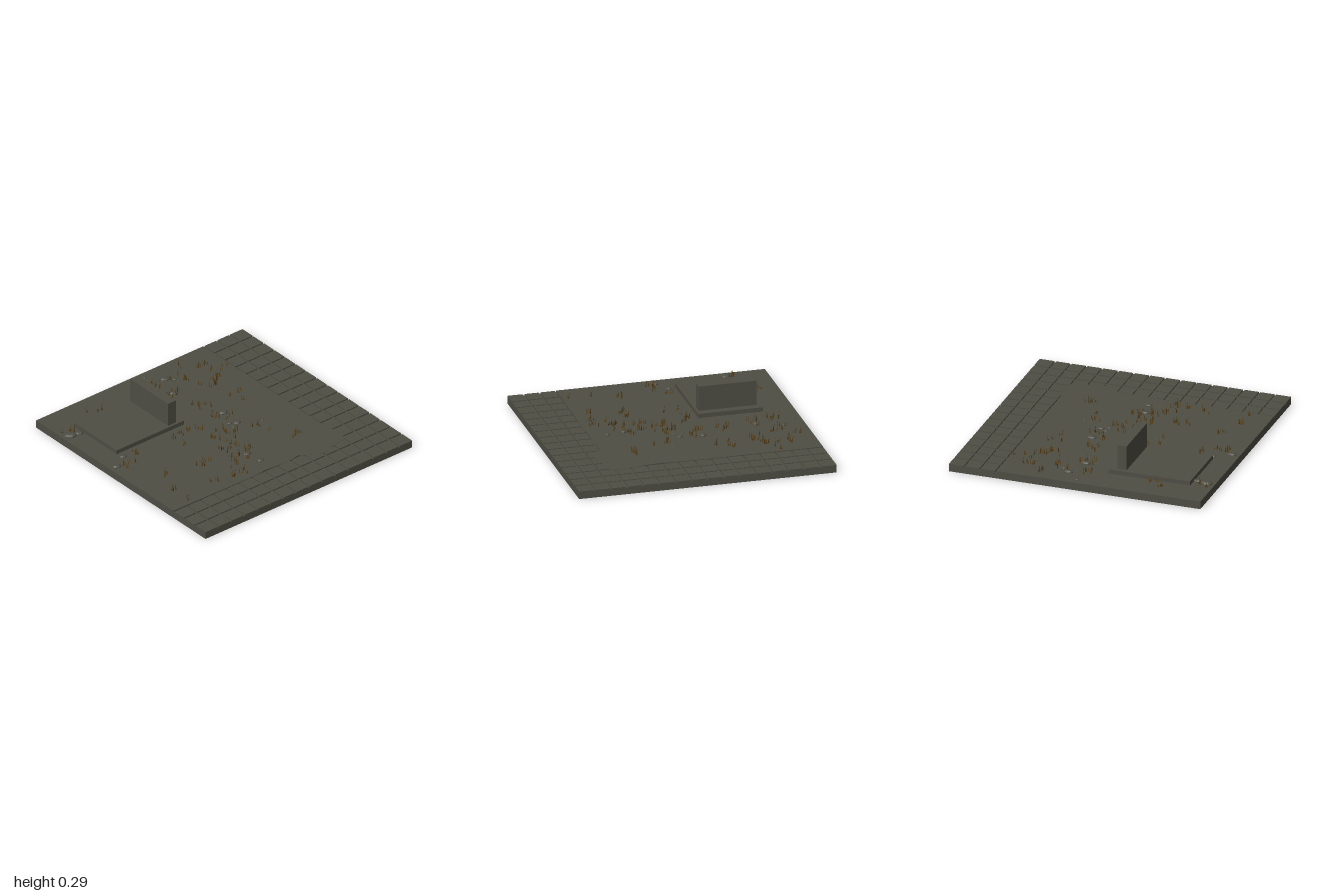
import * as THREE from 'three';

const stone = new THREE.MeshStandardMaterial({ color: 0x4f4e44, flatShading: true });
stone.name = 'olive stone';
const straw = new THREE.MeshStandardMaterial({ color: 0x5c4218, side: THREE.DoubleSide });
straw.name = 'dry grass';

// small seeded generator
let seed = 11;
const rand = () => (seed = (seed * 16807) % 2147483647) / 2147483647;
const spread = (r) => (rand() * 2 - 1) * r;

export function createModel() {
  seed = 11;
  const model = new THREE.Group();
  const add = (name, geometry, material = stone, parent = model) => {
    const mesh = new THREE.Mesh(geometry, material);
    mesh.name = name;
    parent.add(mesh);
    return mesh;
  };
  const box = (name, x0, x1, y0, y1, z0, z1, parent) =>
    add(name, new THREE.BoxGeometry(x1 - x0, y1 - y0, z1 - z0), stone, parent)
      .position.set((x0 + x1) / 2, (y0 + y1) / 2, (z0 + z1) / 2);

  // base slab
  box('baseSlab', -1, 1, 0, 0.05, -1, 1);

  // paving along the front and left edges
  const paving = new THREE.Group();
  paving.name = 'paving';
  model.add(paving);
  const pitch = 0.125, gap = 0.007;
  for (let i = 0; i < 16; i++) {
    for (let j = 0; j < 16; j++) {
      if (i < 13 && j < 13) continue;
      const x = -1 + i * pitch, z = -1 + j * pitch;
      box('pavingTile', x + (i ? gap : 0), x + pitch - (i < 15 ? gap : 0), 0.05, 0.06,
        z + (j ? gap : 0), z + pitch - (j < 15 ? gap : 0), paving);
    }
  }

  // soil, with a ragged edge spilling over the paving corner
  const edge = [[-1, -1], [0.62, -1], [0.625, 0.1], [0.61, 0.25], [0.625, 0.4], [0.64, 0.5],
    [0.66, 0.6], [0.62, 0.66], [0.52, 0.68], [0.38, 0.71], [0.28, 0.67], [0.22, 0.62],
    [0.1, 0.635], [-0.1, 0.62], [-0.22, 0.63], [-1, 0.62]];
  const soil = new THREE.ExtrudeGeometry(
    new THREE.Shape(edge.map(([x, z]) => new THREE.Vector2(x, -z))),
    { depth: 0.0115, bevelEnabled: false });
  soil.rotateX(-Math.PI / 2).translate(0, 0.05, 0);
  add('soil', soil);

  // plinth and upright slab
  box('plinth', -0.83, -0.18, 0.05, 0.095, -0.755, -0.255);
  box('uprightSlab', -0.315, -0.24, 0.095, 0.29, -0.725, -0.275);

  // rocks: x, z, half width
  const rocks = [[-0.93, -0.675, 0.055], [-0.86, -0.66, 0.042], [0.11, -0.83, 0.04],
    [0.165, -0.78, 0.02], [0.005, -0.94, 0.016], [0.04, -0.64, 0.042], [0.155, -0.195, 0.04],
    [-0.81, -0.2, 0.033], [-0.935, -0.125, 0.04], [0.095, -0.05, 0.02], [0.145, -0.02, 0.032],
    [0.09, 0.01, 0.02], [0.31, 0.075, 0.014], [-0.07, 0.36, 0.036], [-0.05, 0.49, 0.03]];
  const rockShape = new THREE.SphereGeometry(1, 8, 5);
  for (const [x, z, r] of rocks) {
    const rock = add('rock', rockShape);
    rock.position.set(x, 0.062, z);
    rock.scale.set(r, r * 0.4, r * 0.75);
    rock.rotation.y = spread(0.2);
  }

  // grass clumps: x, z, spread, number of tufts
  const clumps = [[-0.83, 0.58, 0.02, 1], [-0.82, 0.37, 0.04, 2], [-0.52, 0.52, 0.05, 3],
    [-0.72, 0.19, 0.05, 3], [-0.84, -0.06, 0.06, 4], [-0.7, -0.15, 0.05, 3], [-0.3, 0.5, 0.08, 7],
    [-0.41, 0.23, 0.07, 6], [-0.17, 0.38, 0.07, 8], [-0.13, 0.22, 0.07, 8], [-0.02, 0.33, 0.06, 6],
    [-0.08, 0.08, 0.08, 8], [0.02, 0.02, 0.07, 6], [0.22, 0.15, 0.06, 4], [0.12, -0.15, 0.07, 6],
    [0.09, -0.37, 0.07, 6], [0.02, -0.62, 0.06, 5], [0, -0.81, 0.06, 5], [0.19, -0.74, 0.06, 5],
    [0.32, -0.55, 0.06, 6], [0.41, -0.58, 0.06, 6], [0.44, -0.76, 0.07, 5], [0.55, -0.66, 0.04, 2],
    [0.36, 0.35, 0.06, 4], [0.38, -0.3, 0.08, 4], [-0.57, -0.85, 0.07, 4], [-0.92, -0.7, 0.04, 3],
    [-0.17, -0.15, 0.06, 5], [-0.3, -0.1, 0.08, 4], [0.35, -0.9, 0.05, 2]];
  const points = [];
  for (const [cx, cz, r, count] of clumps) {
    for (let t = 0; t < count; t++) {
      const x = cx + spread(r), z = cz + spread(r);
      // each tuft is a few upright triangles, leaning within their own plane
      for (let b = 0; b < 4; b++) {
        const angle = rand() * Math.PI, c = Math.cos(angle), s = -Math.sin(angle);
        const bx = x + spread(0.012), bz = z + spread(0.012);
        const h = 0.025 + rand() * 0.042, w = 0.004, lean = 0.002 + rand() * 0.01;
        points.push(bx - c * w, 0.06, bz - s * w, bx + c * w, 0.06, bz + s * w,
          bx + c * lean, 0.06 + h, bz + s * lean);
      }
    }
  }
  const grass = new THREE.BufferGeometry();
  grass.setAttribute('position', new THREE.Float32BufferAttribute(points, 3));
  grass.computeVertexNormals();
  add('dryGrass', grass, straw);

  return model;
}
